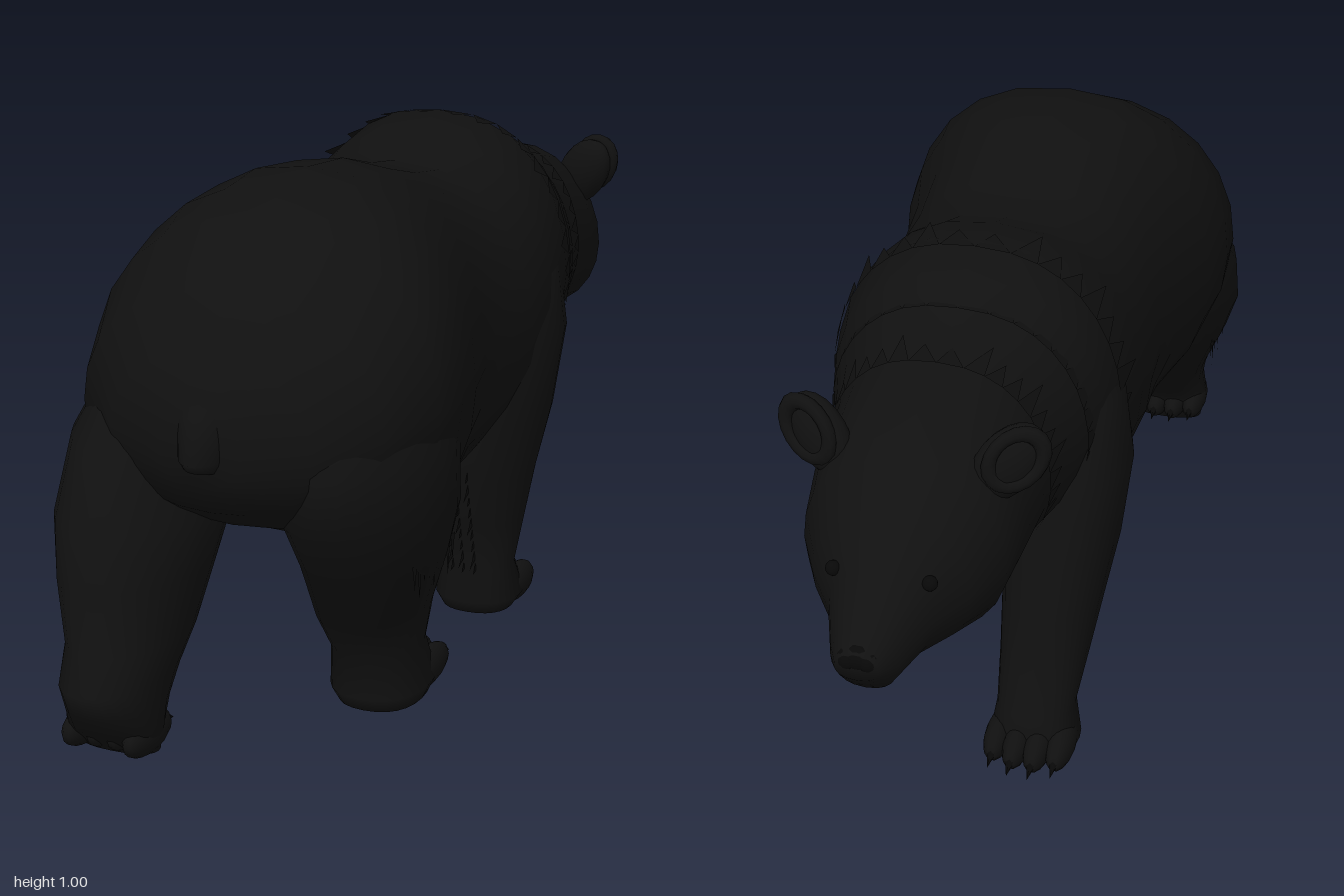
import * as THREE from 'three';

const furMat = new THREE.MeshStandardMaterial({ color: 0x101010 });
furMat.name = 'blackFur';
const tuftMat = new THREE.MeshStandardMaterial({ color: 0x0e0e0e, side: THREE.DoubleSide });
tuftMat.name = 'furTufts';
const hornMat = new THREE.MeshStandardMaterial({ color: 0x080808 });
hornMat.name = 'noseEyesAndClaws';

const V = (x, y, z) => new THREE.Vector3(x, y, z);
const spow = (v, e) => Math.sign(v) * Math.abs(v) ** e;
const angles = Array.from({ length: 24 }, (_, j) => j / 24 * Math.PI * 2);

// Row of a table at key k, blended between its neighbours
function rowAt(table, k) {
  let i = 0;
  while (i < table.length - 2 && k > table[i + 1][0]) i++;
  const A = table[i], B = table[i + 1];
  const t = THREE.MathUtils.clamp((k - A[0]) / (B[0] - A[0]), 0, 1);
  return A.map((v, c) => v + (B[c] - v) * t);
}

// Skin a list of closed rings and cap both ends, facing outward
function loft(rings) {
  const n = rings[0].length, pts = rings.flat(), idx = [];
  for (let i = 0; i < rings.length - 1; i++)
    for (let j = 0; j < n; j++) {
      const a = i * n + j, b = i * n + (j + 1) % n;
      idx.push(a, b, a + n, b, b + n, a + n);
    }
  [0, rings.length - 1].forEach((k, end) => {
    const c = V(0, 0, 0);
    rings[k].forEach(p => c.addScaledVector(p, 1 / n));
    const ci = pts.push(c) - 1;
    for (let j = 0; j < n; j++) {
      const a = k * n + j, b = k * n + (j + 1) % n;
      if (end) idx.push(a, b, ci); else idx.push(b, a, ci);
    }
  });
  // Turn the faces round when the enclosed volume is negative
  let vol = 0;
  for (let t = 0; t < idx.length; t += 3)
    vol += pts[idx[t]].dot(pts[idx[t + 1]].clone().cross(pts[idx[t + 2]]));
  if (vol < 0) idx.reverse();
  const g = new THREE.BufferGeometry().setFromPoints(pts);
  g.setIndex(idx);
  g.computeVertexNormals();
  return g;
}

// Trunk, neck and head: z, top, bottom, half width
const BODY = [
  [-0.995, 0.605, 0.55, 0.04], [-0.95, 0.63, 0.5, 0.062], [-0.86, 0.69, 0.495, 0.095], [-0.79, 0.755, 0.48, 0.147],
  [-0.71, 0.815, 0.457, 0.19], [-0.62, 0.86, 0.47, 0.203], [-0.5, 0.89, 0.47, 0.21], [-0.38, 0.912, 0.455, 0.24],
  [-0.3, 0.965, 0.43, 0.27], [-0.22, 1.0, 0.4, 0.288], [-0.1, 0.975, 0.36, 0.3], [0, 0.937, 0.33, 0.298],
  [0.12, 0.955, 0.3, 0.29], [0.25, 0.99, 0.285, 0.297], [0.4, 1.003, 0.285, 0.338], [0.51, 0.985, 0.32, 0.356],
  [0.6, 0.94, 0.36, 0.352], [0.73, 0.842, 0.41, 0.3], [0.81, 0.745, 0.46, 0.2], [0.85, 0.67, 0.52, 0.08],
];

function bodyPoint(z, a, grow = 0) {
  const [, top, bot, w] = rowAt(BODY, z);
  const mid = bot + (top - bot) * 0.46, s = Math.sin(a);
  return V((w + grow) * spow(Math.cos(a), 0.83), mid + s * ((s > 0 ? top - mid : mid - bot) + grow), z);
}

// Leg or tail, slimmer at the back higher up: rows of y, back z, front z; widths of y, inner x, outer x
function limb(rows, widths, side) {
  return loft(rows.map(([y, z0, z1]) => {
    const [, x0, x1] = rowAt(widths, y);
    return angles.map(a => {
      const half = (x1 - x0) / 2 * (1 - 0.6 * y * Math.max(0, Math.sin(a)));
      return V(side * ((x0 + x1) / 2 + half * spow(Math.cos(a), 0.85)), y,
        (z0 + z1) / 2 + (z0 - z1) / 2 * spow(Math.sin(a), 0.85));
    });
  }));
}

const HIND_WIDTHS = [[0, 0.095, 0.255], [0.03, 0.08, 0.268], [0.11, 0.08, 0.25], [0.2, 0.07, 0.275],
  [0.32, 0.055, 0.322], [0.42, 0.04, 0.352], [0.55, 0.06, 0.355], [0.66, 0.11, 0.31], [0.74, 0.16, 0.24]];
const FRONT_WIDTHS = [[0, 0.1, 0.245], [0.03, 0.085, 0.265], [0.1, 0.095, 0.25], [0.3, 0.08, 0.28],
  [0.42, 0.07, 0.3], [0.58, 0.06, 0.314], [0.72, 0.08, 0.29], [0.82, 0.12, 0.22]];
const TAIL_WIDTHS = [[0.55, -0.04, 0.04], [0.76, -0.09, 0.09]];

// Row of pointed tufts from a root line to tips shifted by an offset
function fringe(root, offset, n) {
  const pts = [];
  for (let i = 0; i < n; i++) {
    const a = root(i / n), b = root((i + 1) / n);
    pts.push(a, b, a.clone().lerp(b, 0.5).addScaledVector(offset(a), i % 3 === 1 ? 1 : 0.65));
  }
  const g = new THREE.BufferGeometry().setFromPoints(pts);
  g.computeVertexNormals();
  return g;
}

export function createModel() {
  const bear = new THREE.Group();
  bear.name = 'bear';
  const add = (name, geo, mat, parent = bear) => {
    const m = new THREE.Mesh(geo, mat);
    m.name = name;
    parent.add(m);
    return m;
  };
  const ball = (name, mat, p, s, parent) => {
    const m = add(name, new THREE.SphereGeometry(1, 14, 10), mat, parent);
    m.position.set(...p);
    m.scale.set(...s);
  };

  add('bodyAndHead', loft(BODY.map(([z]) => angles.map(a => bodyPoint(z, a)))), furMat);

  // Legs, each with a paw of four toes and claws between z0 and z1
  const addLeg = (name, side, widths, z0, z1, rows) => {
    const leg = new THREE.Group();
    leg.name = name;
    bear.add(leg);
    add('limb', limb(rows, widths, side), furMat, leg);
    for (let i = 0; i < 4; i++) {
      const x = side * (0.111 + i * 0.042), back = i % 3 === 0 ? 0.015 : 0;
      ball('toe', furMat, [x, 0.038, (z0 + z1) / 2 + back], [0.028, 0.038, (z0 - z1) / 2], leg);
      const claw = add('claw', new THREE.ConeGeometry(0.01, 0.035, 6), hornMat, leg);
      claw.position.set(x, 0.034, z1 + back - 0.005);
      claw.rotation.x = -Math.PI / 2 - 0.4;
    }
  };
  addLeg('leftHindLeg', 1, HIND_WIDTHS, 0.48, 0.285, [[0, 0.55, 0.36], [0.03, 0.568, 0.34], [0.11, 0.56, 0.358],
    [0.2, 0.635, 0.36], [0.32, 0.705, 0.375], [0.42, 0.78, 0.37], [0.55, 0.81, 0.38], [0.66, 0.72, 0.44], [0.74, 0.64, 0.5]]);
  addLeg('rightHindLeg', -1, HIND_WIDTHS, 0.93, 0.775, [[0, 0.89, 0.82], [0.05, 0.94, 0.81], [0.1, 0.98, 0.77],
    [0.15, 1, 0.72], [0.21, 0.955, 0.66], [0.32, 0.935, 0.58], [0.42, 0.91, 0.52], [0.55, 0.84, 0.45],
    [0.66, 0.74, 0.45], [0.74, 0.66, 0.52]]);
  addLeg('leftFrontLeg', 1, FRONT_WIDTHS, -0.02, -0.18, [[0, 0.03, -0.11], [0.03, 0.05, -0.13], [0.1, 0.035, -0.09],
    [0.2, 0.06, -0.13], [0.3, 0.085, -0.17], [0.42, 0.1, -0.23], [0.58, 0.09, -0.28], [0.72, 0.03, -0.27], [0.82, -0.05, -0.2]]);
  addLeg('rightFrontLeg', -1, FRONT_WIDTHS, -0.41, -0.565, [[0, -0.38, -0.5], [0.03, -0.355, -0.52], [0.1, -0.34, -0.495],
    [0.2, -0.25, -0.465], [0.3, -0.17, -0.445], [0.42, -0.1, -0.43], [0.58, -0.06, -0.4], [0.72, -0.08, -0.34], [0.82, -0.15, -0.27]]);

  // Tail hanging on the rump
  add('tail', limb([[0.55, 0.865, 0.8], [0.57, 0.885, 0.79], [0.65, 0.865, 0.75], [0.76, 0.785, 0.7]],
    TAIL_WIDTHS, 1), furMat);

  // Ears, eyes and nose
  for (const s of [1, -1]) {
    const ear = new THREE.Group();
    ear.name = s > 0 ? 'leftEar' : 'rightEar';
    ear.position.set(s * 0.183, 0.81, -0.65);
    ear.rotation.set(0.1, s * -0.3, s * -0.65);
    bear.add(ear);
    ball('earShell', furMat, [0, -0.01, 0.012], [0.057, 0.085, 0.036], ear);
    const rim = add('earRim', new THREE.TorusGeometry(0.043, 0.013, 8, 18), furMat, ear);
    rim.position.set(0, 0.01, -0.012);
    rim.scale.y = 1.3;
    ball('eye', hornMat, [s * 0.088, 0.665, -0.845], [0.014, 0.014, 0.014]);
    ball('nostrilWing', hornMat, [s * 0.018, 0.585, -0.98], [0.022, 0.022, 0.02]);
  }
  ball('nosePad', hornMat, [0, 0.588, -0.975], [0.036, 0.026, 0.025]);

  // Ruff round the neck and shoulders
  for (const z of [-0.24, -0.36, -0.5])
    add('neckRuff', fringe(t => bodyPoint(z, -0.6 + t * (Math.PI + 1.2), 0.005),
      p => V(Math.sign(p.x) * 0.015, 0.008, 0.08), 24), tuftMat);

  // Hanging fur under the throat and belly
  for (const x of [-0.07, 0, 0.07]) {
    add('throatFur', fringe(t => V(x, 0.485, -0.74 + t * 0.34), () => V(0, -0.035, 0.02), 11), tuftMat);
    add('bellyFur', fringe(t => V(x, 0.3, 0.36 - t * 0.26), () => V(0, -0.03, 0.015), 10), tuftMat);
  }

  // Fur on the backs of the forelegs
  for (const dx of [-0.025, 0, 0.025]) {
    add('leftForelegFur', fringe(t => V(0.17 + dx, 0.34 - 0.24 * t, 0.08 - 0.055 * t),
      () => V(0, -0.03, 0.035), 9), tuftMat);
    add('rightForelegFur', fringe(t => V(-0.17 + dx, 0.27 - 0.17 * t, -0.205 - 0.14 * t),
      () => V(0, -0.03, 0.035), 9), tuftMat);
  }

  // Fur hanging from the outer thighs
  for (const [s, z] of [[1, 0.63], [-1, 0.82]])
    add('thighFur', fringe(t => V(s * 0.31, 0.34, z - 0.2 * t), () => V(0, -0.075, 0), 9), tuftMat);

  return bear;
}
